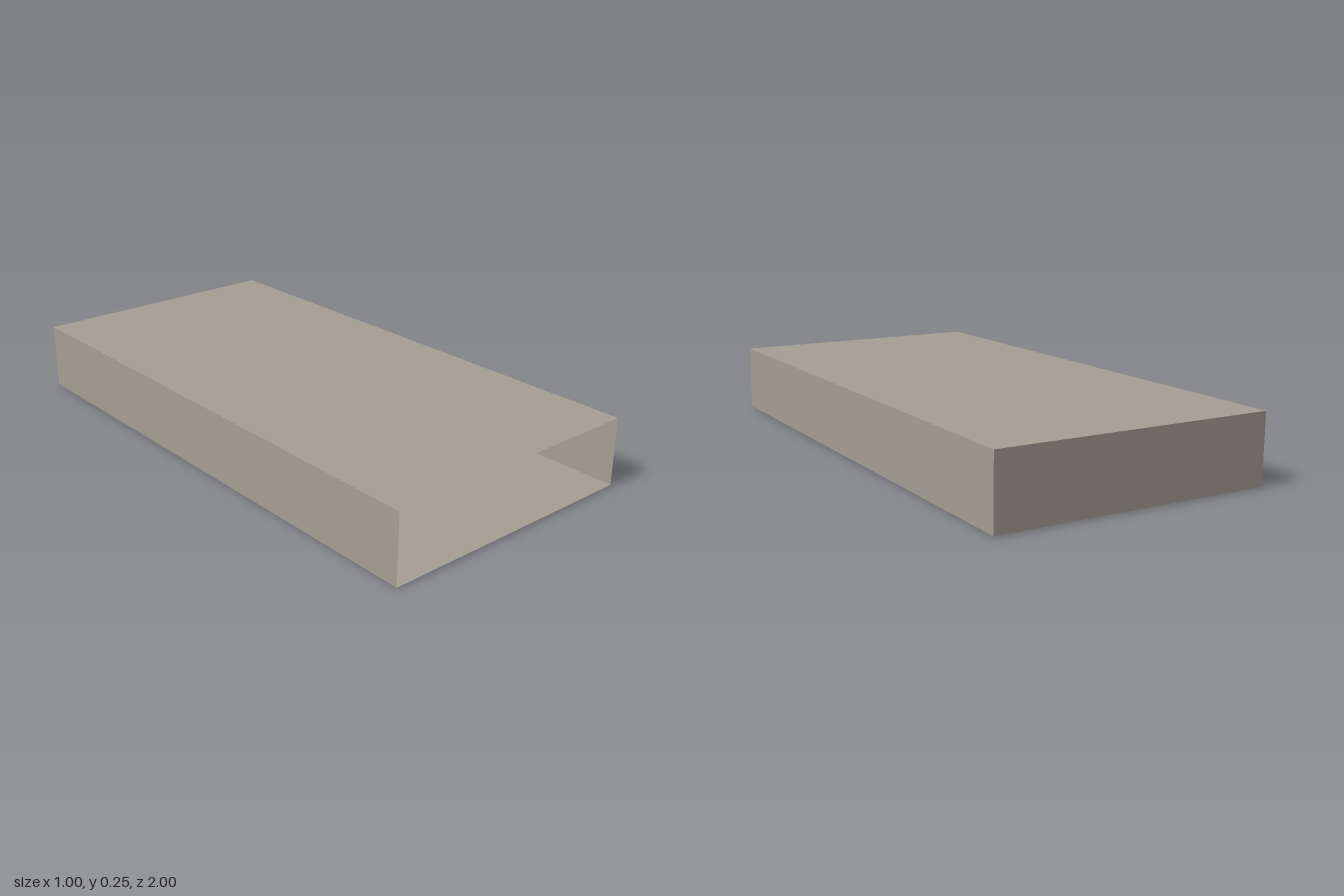
import * as THREE from 'three';

const mat = (name, color, side = THREE.FrontSide) => {
  const m = new THREE.MeshStandardMaterial({ color, side });
  m.name = name;
  return m;
};

export function createModel() {
  const root = new THREE.Group();
  root.name = 'officeHall';
  const wall = mat('warm grey wall', 0xa59f94, THREE.DoubleSide);
  const stone = mat('warm grey', 0xa59f94);
  const brown = mat('dark brown', 0x5a3624);
  const pale = mat('pale grey', 0xb4b0a6);
  const black = mat('black', 0x151515);

  const add = (parent, name, geo, material, x, y, z) => {
    const m = new THREE.Mesh(geo, material);
    m.name = name;
    m.position.set(x, y, z);
    parent.add(m);
    return m;
  };
  // Box given by its limits on each axis
  const box = (parent, name, material, [x0, x1], [y0, y1], [z0, z1]) =>
    add(parent, name, new THREE.BoxGeometry(x1 - x0, y1 - y0, z1 - z0), material,
      (x0 + x1) / 2, (y0 + y1) / 2, (z0 + z1) / 2);

  // Thin room shell, open at the front
  const y0 = 0.005, y1 = 0.253, h = y1 - y0, mid = (y0 + y1) / 2;
  add(root, 'floor', new THREE.PlaneGeometry(1, 2), wall, 0, y0, 0).rotation.x = -Math.PI / 2;
  add(root, 'ceiling', new THREE.PlaneGeometry(1, 2), wall, 0, y1, 0).rotation.x = -Math.PI / 2;
  add(root, 'backWall', new THREE.PlaneGeometry(1, h), wall, 0, mid, -1);
  for (const s of [-1, 1]) {
    add(root, s < 0 ? 'rightWall' : 'leftWall', new THREE.PlaneGeometry(2, h), wall, s * 0.5, mid, 0)
      .rotation.y = s * Math.PI / 2;
  }

  // Two rows of round columns
  const columnGeo = new THREE.CylinderGeometry(0.025, 0.025, h, 24);
  for (const x of [-0.25, 0.25])
    for (const z of [-0.735, -0.36, -0.04, 0.27])
      add(root, 'column', columnGeo, stone, x, mid, z);

  // Raised screen behind the desks
  box(root, 'screenPanel', brown, [-0.39, 0.39], [0.03, 0.13], [0.325, 0.335]);

  // Workstation, with x measured from the right end of its desk
  const workstation = (x) => {
    const g = new THREE.Group();
    g.name = 'workstation';
    g.position.x = x;
    root.add(g);
    box(g, 'deskTop', brown, [0, 0.2], [0.068, 0.073], [0.37, 0.515]);

    // Drawer unit
    box(g, 'drawerUnit', pale, [0.15, 0.195], [0, 0.066], [0.435, 0.505]);
    for (const y of [0.004, 0.025, 0.046]) {
      box(g, 'drawerFront', pale, [0.153, 0.192], [y, y + 0.018], [0.505, 0.508]);
      box(g, 'drawerHandle', black, [0.164, 0.181], [y + 0.012, y + 0.014], [0.508, 0.511]);
    }

    // Screen turned away from the front, with its stand
    box(g, 'monitor', pale, [0.062, 0.138], [0.092, 0.133], [0.432, 0.437]);
    box(g, 'monitorFrame', black, [0.06, 0.14], [0.09, 0.135], [0.429, 0.432]);
    box(g, 'monitorNeck', black, [0.096, 0.104], [0.075, 0.118], [0.437, 0.442]);
    box(g, 'monitorMount', black, [0.091, 0.109], [0.104, 0.122], [0.437, 0.44]);
    box(g, 'monitorFoot', black, [0.082, 0.118], [0.073, 0.076], [0.425, 0.453]);
    box(g, 'keyboard', black, [0.07, 0.125], [0.073, 0.075], [0.385, 0.405]);

    // Small desk lamp
    add(g, 'lampBase', new THREE.CylinderGeometry(0.008, 0.008, 0.003, 16), black, 0.175, 0.0745, 0.44);
    add(g, 'lampStem', new THREE.CylinderGeometry(0.0015, 0.0015, 0.026, 8), black, 0.175, 0.088, 0.44);
    add(g, 'lampShade', new THREE.ConeGeometry(0.009, 0.016, 16), pale, 0.175, 0.102, 0.44);

    // Slatted side divider on a dark plinth
    box(g, 'dividerBase', black, [0.203, 0.246], [y0, 0.026], [0.37, 0.5]);
    box(g, 'dividerCore', black, [0.206, 0.243], [0.026, 0.128], [0.38, 0.49]);
    for (const sx of [0.203, 0.214, 0.225, 0.236])
      box(g, 'dividerSlat', pale, [sx, sx + 0.008], [0.026, 0.13], [0.37, 0.5]);
  };
  workstation(-0.25);
  workstation(0.055);

  return root;
}
